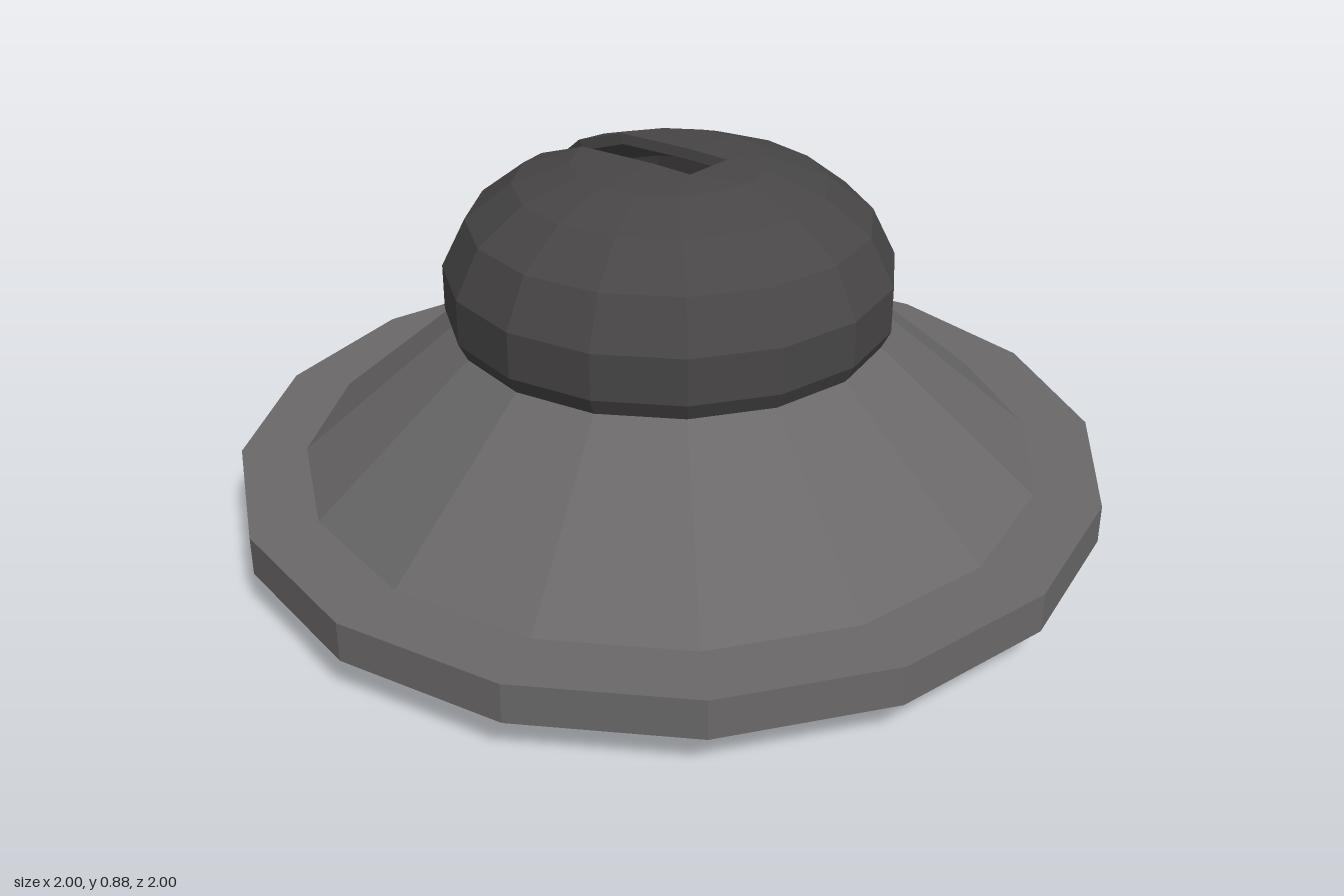
import * as THREE from 'three';

const SIDES = 16;
const baseMaterial = new THREE.MeshStandardMaterial({ color: 0x6a6868, flatShading: true, side: THREE.DoubleSide });
const domeMaterial = new THREE.MeshStandardMaterial({ color: 0x484646, flatShading: true, side: THREE.DoubleSide });

// Thin hollow base: skirt, flange, cone and the flat deck under the dome
function createBase() {
  const profile = [[0.85, 0], [0.85, 0.09], [1, 0.09], [1, 0.18], [0.85, 0.18], [0.49, 0.49], [0, 0.49]]
    .map(([r, y]) => new THREE.Vector2(r, y));
  const mesh = new THREE.Mesh(new THREE.LatheGeometry(profile, SIDES), baseMaterial);
  mesh.name = 'flangedBase';
  return mesh;
}

// One dome ring, running from one edge of the rear slot around to the other
function domeRing(r, y) {
  const w = r > 0.4 ? 0.077 : 0.062;
  const ring = [];
  for (let j = 0; j <= SIDES; j++) {
    const a = (j / SIDES) * Math.PI * 2;
    if (j === 0 || j === SIDES) ring.push(new THREE.Vector3(j === 0 ? w : -w, y, -(r - w * 0.2)));
    else ring.push(new THREE.Vector3(r * Math.sin(a), y, -r * Math.cos(a)));
  }
  return ring;
}

// Hollow dome shell with a slot cut from just past the crown down the back
function createDome() {
  const rings = [[0.49, 0.49], [0.51, 0.53], [0.51, 0.635], [0.455, 0.745], [0.35, 0.825], [0.22, 0.87]]
    .map(([r, y]) => domeRing(r, y));
  const shoulder = 2;

  // The last ring closes the crown onto the outline of the slot
  rings.push(rings[5].map((p) => new THREE.Vector3(
    THREE.MathUtils.clamp(p.x, -0.062, 0.062), 0.88 - 0.045 * Math.abs(p.z < 0 ? p.z : 0),
    Math.min(p.z, 0.11))));

  const inner = rings.map((ring) => ring.map((p) =>
    new THREE.Vector3(p.x * 0.94, 0.49 + (p.y - 0.49) * 0.94, p.z * 0.94)));

  const positions = [];
  const quad = (a, b, c, d) => {
    for (const p of [a, b, c, a, c, d]) positions.push(p.x, p.y, p.z);
  };
  const top = rings.length - 1;

  for (let i = 0; i < top; i++) {
    for (let j = 0; j < SIDES; j++) {
      quad(rings[i][j], rings[i + 1][j], rings[i + 1][j + 1], rings[i][j + 1]);
      quad(inner[i][j], inner[i][j + 1], inner[i + 1][j + 1], inner[i + 1][j]);
    }
    if (i < shoulder) {
      // Solid strip below the slot
      quad(rings[i][SIDES], rings[i + 1][SIDES], rings[i + 1][0], rings[i][0]);
      quad(inner[i][SIDES], inner[i][0], inner[i + 1][0], inner[i + 1][SIDES]);
    } else {
      // Side walls of the slot
      quad(rings[i][0], inner[i][0], inner[i + 1][0], rings[i + 1][0]);
      quad(rings[i][SIDES], rings[i + 1][SIDES], inner[i + 1][SIDES], inner[i][SIDES]);
    }
  }

  // Slot walls at the crown, its lower sill and the bottom lip of the shell
  for (let j = 0; j < SIDES; j++) {
    quad(rings[top][j], inner[top][j], inner[top][j + 1], rings[top][j + 1]);
    quad(rings[0][j], rings[0][j + 1], inner[0][j + 1], inner[0][j]);
  }
  quad(rings[shoulder][0], rings[shoulder][SIDES], inner[shoulder][SIDES], inner[shoulder][0]);

  const geometry = new THREE.BufferGeometry();
  geometry.setAttribute('position', new THREE.Float32BufferAttribute(positions, 3));
  geometry.computeVertexNormals();
  const mesh = new THREE.Mesh(geometry, domeMaterial);
  mesh.name = 'slottedDome';
  return mesh;
}

export function createModel() {
  const model = new THREE.Group();
  model.name = 'slottedDomeOnBase';
  model.add(createBase(), createDome());
  return model;
}
